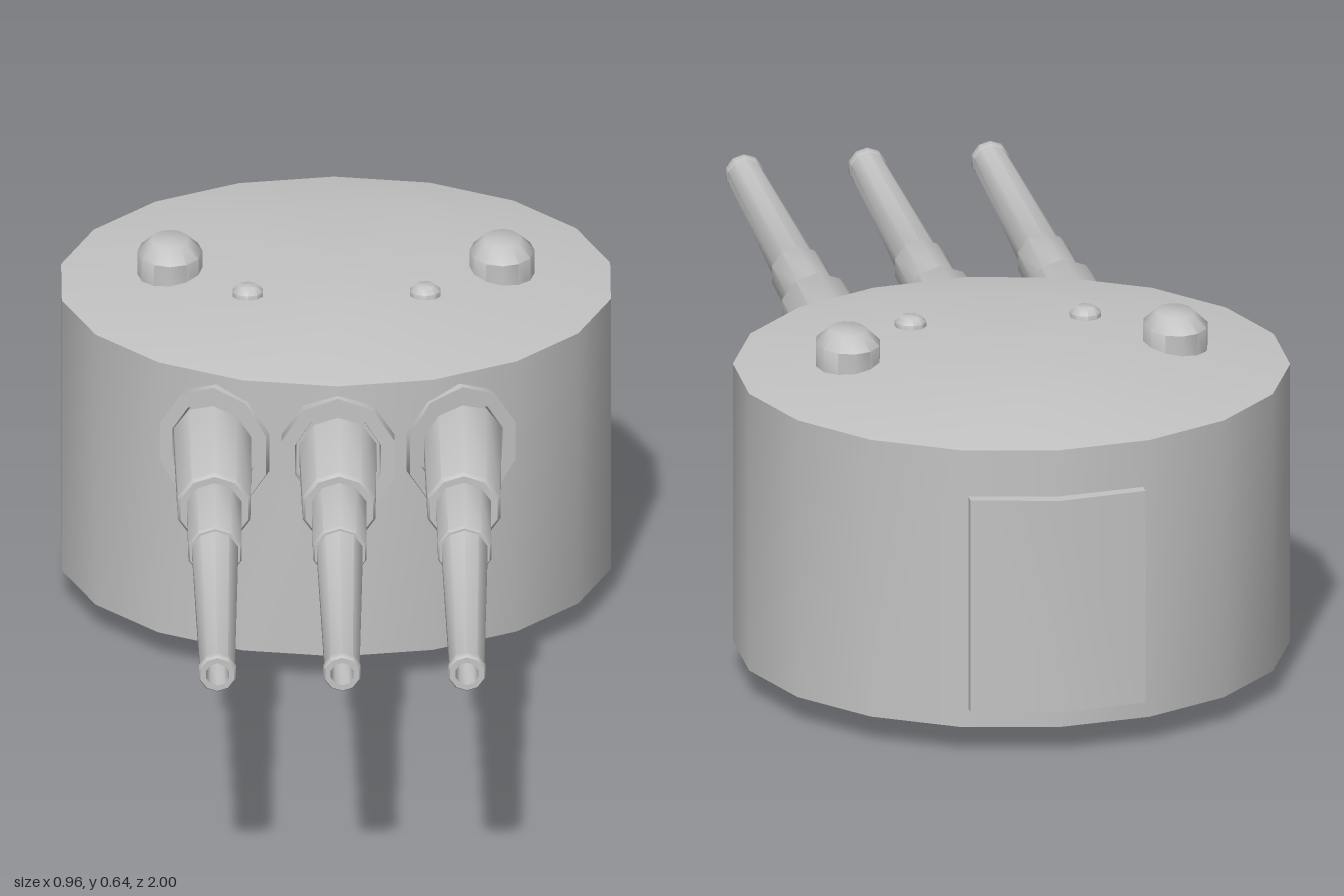
import * as THREE from 'three';
import { toCreasedNormals } from 'three/addons/utils/BufferGeometryUtils.js';

const CENTRE_Z = -0.493; // turret axis
const SIDES = 18;

export function createModel() {
  const model = new THREE.Group();
  model.name = 'gunTurret';
  const steel = new THREE.MeshStandardMaterial({ color: 0xc3c3c3 });
  steel.name = 'light grey steel';

  const add = (name, geometry, x = 0, y = 0, z = 0, crease = 0.6) => {
    const mesh = new THREE.Mesh(toCreasedNormals(geometry, crease), steel);
    mesh.name = name;
    mesh.position.set(x, y, z);
    model.add(mesh);
    return mesh;
  };
  const lathe = (points, sides) =>
    new THREE.LatheGeometry(points.map(([r, y]) => new THREE.Vector2(r, y)), sides);

  // Base ring and main housing, very slightly wider than long
  add('baseRing', new THREE.CylinderGeometry(0.318, 0.318, 0.06, SIDES).scale(1, 1, 0.99), 0, 0.03, CENTRE_Z);
  add('housing', new THREE.CylinderGeometry(0.487, 0.487, 0.51, SIDES).scale(1, 1, 0.99), 0, 0.305, CENTRE_Z);

  // Roof rising to a flat plateau, narrower across than along
  const roof = new THREE.CylinderGeometry(0.3, 0.487, 0.033, SIDES).scale(1, 1, 0.99);
  const p = roof.attributes.position;
  for (let i = 0; i < p.count; i++) if (p.getY(i) > 0) p.setX(i, p.getX(i) * 0.67);
  add('roof', roof, 0, 0.5765, CENTRE_Z);

  // Rear door bent around the housing
  const doorShape = new THREE.Shape([
    [-0.155, 0.93], [0.155, 0.93], [0.155, 0.97], [0, 1.0], [-0.155, 0.97],
  ].map(([x, y]) => new THREE.Vector2(x, y)));
  const door = new THREE.ExtrudeGeometry(doorShape, { depth: 0.39, bevelEnabled: false });
  door.rotateX(-Math.PI / 2);
  add('rearDoor', door, 0, 0.085, 0, 0.6);

  // Roof sights and small hatches
  for (const side of [-1, 1]) {
    const sight = lathe([[0.057, 0.56], [0.057, 0.618], [0.033, 0.641], [0, 0.641]], 12);
    sight.scale(1, 1, 1.3);
    add('roofSight', sight, side * 0.29, 0, CENTRE_Z, 0.9);
    const stud = lathe([[0.028, 0.58], [0.028, 0.601], [0.017, 0.611], [0, 0.611]], 10);
    add('roofStud', stud, side * 0.155, 0, -0.353, 0.9);
  }

  // Three stepped barrels with hollow muzzles, each in an oval collar
  for (const side of [-1, 0, 1]) {
    const barrel = lathe([
      [0.072, -0.12], [0.067, 0.236], [0.062, 0.243], [0.05, 0.243],
      [0.049, 0.438], [0.046, 0.444], [0.042, 0.444],
      [0.032, 0.975], [0.034, 0.98], [0.034, 0.995], [0.031, 1.0],
      [0.021, 1.0], [0.019, 0.9], [0, 0.9],
    ], 10);
    barrel.rotateX(Math.PI / 2);
    add('barrel', barrel, side * 0.218, 0.432, 0, 0.7);

    const collar = lathe([
      [0.115, -0.07], [0.115, 0], [0.088, 0], [0.085, -0.01], [0.06, -0.01],
    ], 10);
    collar.rotateX(Math.PI / 2);
    collar.scale(0.9, 1, 1);
    const ring = add('barrelCollar', collar, side * 0.218, 0.427, side ? -0.05 : 0.003, 0.7);
    ring.rotation.y = side * Math.PI / 9;
  }
  return model;
}
